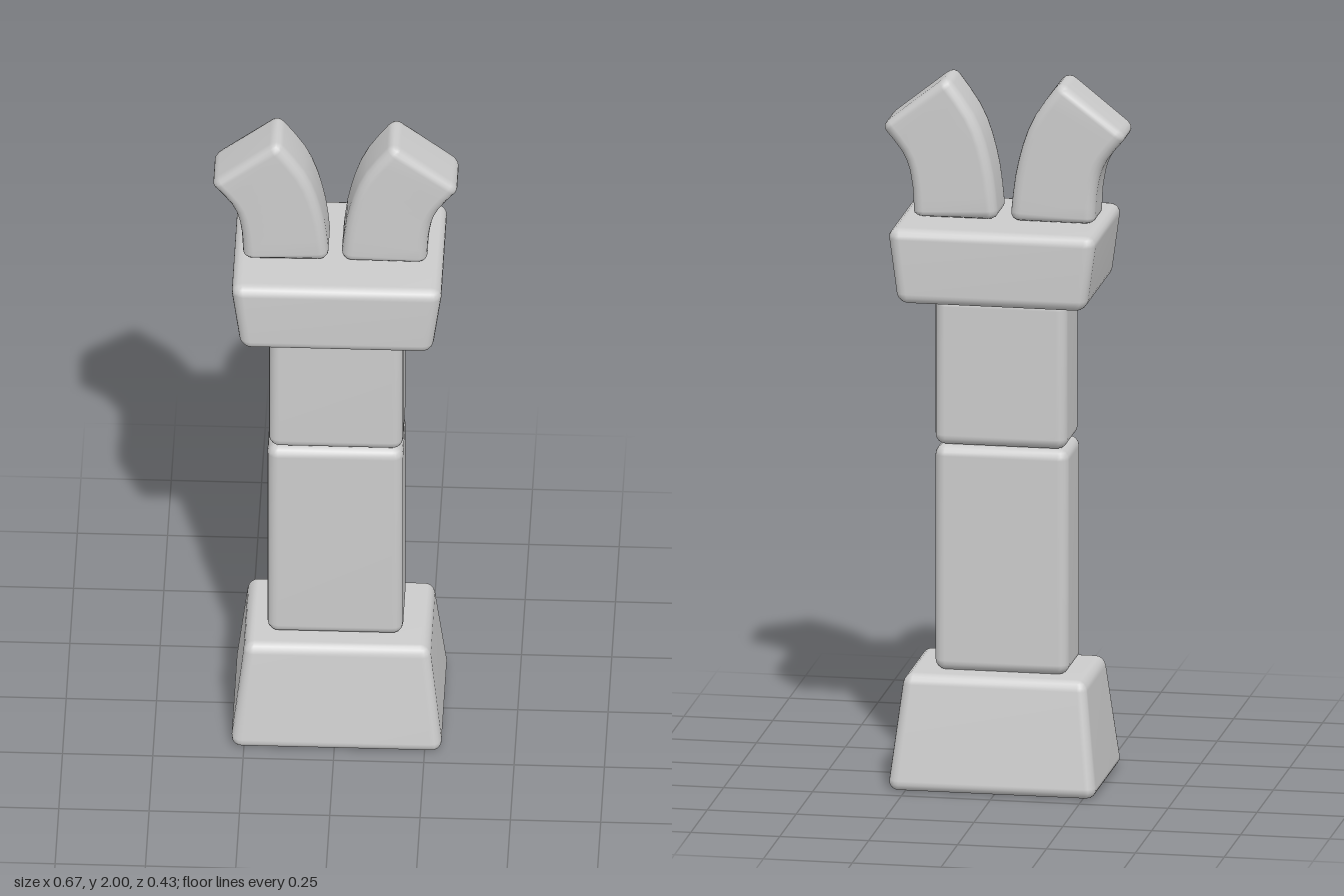
import * as THREE from 'three';
import { mergeVertices } from 'three/addons/utils/BufferGeometryUtils.js';

const R = 0.03; // edge rounding
const STEPS = 2; // segments from a face to its rounded edge

// Grid line k of n along a length: tight at both ends, even in the middle
function gridLine(k, n, length) {
  const half = length / 2;
  const edge = (i) => half - R + R * Math.tan(((STEPS - i) / STEPS) * Math.PI / 4);
  if (k <= STEPS) return -edge(k);
  if (k >= n - STEPS) return edge(n - k);
  return THREE.MathUtils.lerp(-half + R, half - R, (k - STEPS) / (n - 2 * STEPS));
}

// Rounded block, reshaped by warp(point), with smooth weighted normals
function block(name, [w, h, d], warp, rows = 1) {
  const counts = [1 + 2 * STEPS, rows + 2 * STEPS, 1 + 2 * STEPS];
  const size = [w, h, d];
  let geometry = new THREE.BoxGeometry(1, 1, 1, ...counts);
  geometry.deleteAttribute('uv');
  geometry.deleteAttribute('normal');
  const pos = geometry.attributes.position;
  const p = new THREE.Vector3();
  const inner = new THREE.Vector3();
  const limit = new THREE.Vector3(w / 2 - R, h / 2 - R, d / 2 - R);
  for (let i = 0; i < pos.count; i++) {
    p.fromBufferAttribute(pos, i);
    p.fromArray(p.toArray().map((u, a) => gridLine(Math.round((u + 0.5) * counts[a]), counts[a], size[a])));
    inner.copy(p).clamp(limit.clone().negate(), limit);
    p.sub(inner).setLength(R).add(inner);
    if (warp) warp(p);
    pos.setXYZ(i, p.x, p.y, p.z);
  }
  geometry = mergeVertices(geometry, 1e-5);
  geometry.computeVertexNormals();
  const mesh = new THREE.Mesh(geometry, new THREE.MeshStandardMaterial({ color: 0xcccccc }));
  mesh.name = name;
  return mesh;
}

// Block between two heights whose top is scaled by topX and topZ
function taperedBlock(name, w, d, y0, y1, x, topX = 1, topZ = 1) {
  const h = y1 - y0;
  const mesh = block(name, [w, h, d], (p) => {
    const t = p.y / h + 0.5;
    p.x *= THREE.MathUtils.lerp(1, topX, t);
    p.z *= THREE.MathUtils.lerp(1, topZ, t);
  });
  mesh.position.set(x, (y0 + y1) / 2, 0);
  return mesh;
}

// Curved prong bent between an inner and an outer edge curve
function prong(name, side) {
  const curve = (pts) => new THREE.SplineCurve(pts.map(([x, y]) => new THREE.Vector2(x, y)));
  const innerEdge = curve([[0.016, 1.608], [0.034, 1.755], [0.077, 1.892], [0.159, 2.012]]);
  const outerEdge = curve([[0.255, 1.608], [0.26, 1.7], [0.282, 1.78], [0.346, 1.862]]);
  const w = 0.24, h = 0.36;
  const mesh = block(name, [w, h, 0.158], (p) => {
    const t = THREE.MathUtils.clamp(p.y / h + 0.5, 0, 1);
    const q = innerEdge.getPoint(t).lerp(outerEdge.getPoint(t), 0.5 + side * p.x / w);
    p.set(side * q.x, q.y, p.z);
  }, 8);
  mesh.position.set(-0.003, 0, 0.004);
  return mesh;
}

export function createModel() {
  const model = new THREE.Group();
  model.name = 'pillar';
  model.add(
    taperedBlock('base', 0.588, 0.428, 0, 0.325, 0.006, 0.87, 0.74),
    taperedBlock('lowerShaft', 0.376, 0.208, 0.323, 0.967, -0.002),
    taperedBlock('upperShaft', 0.372, 0.206, 0.967, 1.394, 0),
    taperedBlock('capital', 0.53, 0.428, 1.393, 1.607, 0.006, 1.11, 1),
    prong('leftProng', 1),
    prong('rightProng', -1),
  );
  return model;
}
